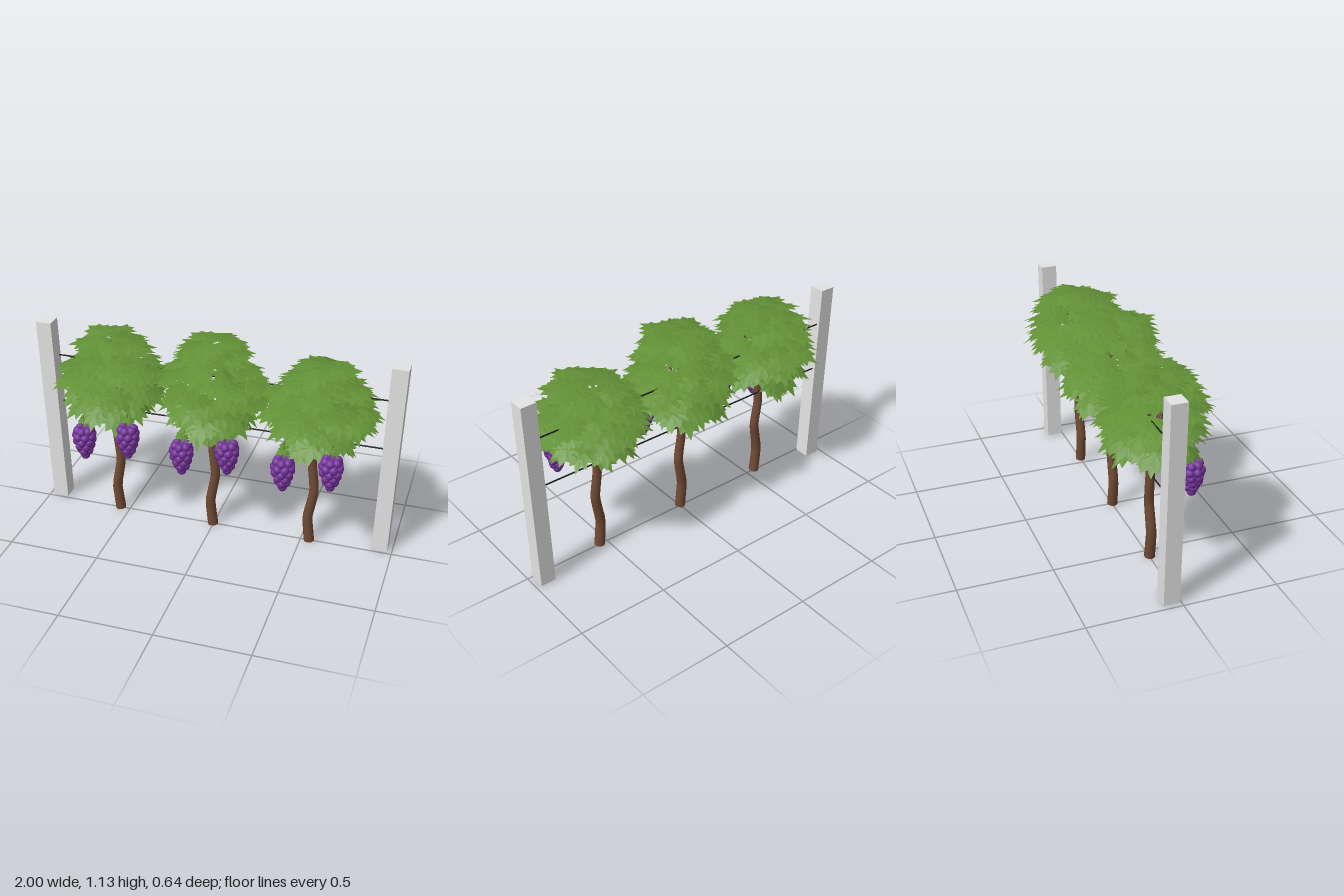
import * as THREE from 'three';
import { mergeGeometries } from 'three/addons/utils/BufferGeometryUtils.js';

const mat = (name, color, side = THREE.FrontSide) => {
  const m = new THREE.MeshStandardMaterial({ color, side });
  m.name = name;
  return m;
};

export function createModel() {
  const postGrey = mat('post grey', 0xe4e4e4);
  const wireBlack = mat('wire black', 0x1c1c1c);
  const bark = mat('bark brown', 0x724b35);
  const leafGreen = mat('leaf green', 0x629036, THREE.DoubleSide);
  const grapePurple = mat('grape purple', 0x76339c);

  let seed = 7;
  const rand = () => (seed = (seed * 16807) % 2147483647) / 2147483647;
  const jitter = (a) => (rand() * 2 - 1) * a;

  const root = new THREE.Group();
  root.name = 'vineyardRow';
  const add = (parent, name, geo, material, x = 0, y = 0, z = 0) => {
    const mesh = new THREE.Mesh(geo, material);
    mesh.name = name;
    mesh.position.set(x, y, z);
    parent.add(mesh);
    return mesh;
  };

  // Tube along points, narrowing from r0 to r1
  const taperTube = (pts, r0, r1, segs, sides) => {
    const curve = new THREE.CatmullRomCurve3(pts.map((p) => new THREE.Vector3(...p)), false, 'catmullrom', 0.2);
    const geo = new THREE.TubeGeometry(curve, segs, r0, sides);
    const pos = geo.attributes.position, v = new THREE.Vector3();
    for (let i = 0; i < pos.count; i++) {
      const t = Math.floor(i / (sides + 1)) / segs;
      const c = curve.getPointAt(t);
      v.fromBufferAttribute(pos, i).sub(c).multiplyScalar(1 + (r1 / r0 - 1) * t).add(c);
      pos.setXYZ(i, v.x, v.y, v.z);
    }
    return geo;
  };

  // Lobed, toothed leaf growing along +z from its stalk, domed and drooping
  const leafGeometry = () => {
    const half = [[0.08, 0.08], [0.3, -0.1], [0.33, 0.1], [0.56, 0.14], [0.4, 0.32],
      [0.6, 0.52], [0.35, 0.54], [0.36, 0.84], [0.15, 0.76]];
    const rim = [[0, 0], ...half, [0, 1.1], ...half.map(([x, z]) => [-x, z]).reverse()];
    const height = ([x, z]) => 0.05 - 0.25 * x * x - 0.14 * (z - 0.35) ** 2;
    const verts = [];
    rim.forEach((a, i) => {
      const b = rim[(i + 1) % rim.length];
      verts.push(0, 0.06, 0.4, b[0], height(b), b[1], a[0], height(a), a[1]);
    });
    const geo = new THREE.BufferGeometry();
    geo.setAttribute('position', new THREE.Float32BufferAttribute(verts, 3));
    geo.computeVertexNormals();
    return geo;
  };
  const leaf = leafGeometry();
  const placeLeaf = (x, y, z, yaw, pitch, roll, size) => {
    const q = new THREE.Quaternion().setFromEuler(new THREE.Euler(pitch, yaw, roll, 'YXZ'));
    return leaf.clone().applyMatrix4(new THREE.Matrix4().compose(
      new THREE.Vector3(x, y, z), q, new THREE.Vector3(size, size, size)));
  };

  // Leaf rings: height, radius, count, downward pitch, sideways squeeze
  const rings = [
    [0.7, 0.115, 8, 0.6, 1], [0.745, 0.125, 12, 0.58, 1.08], [0.79, 0.135, 15, 0.48, 1.15],
    [0.83, 0.145, 16, 0.36, 1.2], [0.87, 0.148, 16, 0.26, 1.22], [0.91, 0.145, 15, 0.18, 1.15],
    [0.955, 0.135, 14, 0.14, 0.9], [1.0, 0.12, 12, 0.12, 0.6], [1.035, 0.11, 11, 0.1, 0.55],
    [1.065, 0.09, 11, 0.1, 0.6], [1.095, 0.055, 9, 0.1, 0.8]];
  const canopy = (lift) => {
    const leaves = [];
    for (const [y, r, n, pitch, squeeze] of rings) {
      const start = rand() * 6.28;
      for (let i = 0; i < n; i++) {
        const a = start + (i / n) * Math.PI * 2 + jitter(0.16);
        const rr = r + jitter(0.02);
        const yy = y + lift * Math.max(0, (y - 0.8) / 0.3) + jitter(0.02);
        leaves.push(placeLeaf(Math.sin(a) * rr * squeeze, yy, Math.cos(a) * rr,
          a + jitter(0.35), pitch + jitter(0.14), jitter(0.2), 0.142 + jitter(0.014)));
      }
    }
    return mergeGeometries(leaves);
  };

  // Bunch of berries hanging below its origin
  const bunchGeometry = () => {
    const rows = [[6, 0.034], [7, 0.043], [6, 0.04], [5, 0.031], [4, 0.02], [1, 0]];
    const berries = [];
    rows.forEach(([n, r], row) => {
      for (let i = 0; i < n; i++) {
        const a = ((i + row * 0.5) / n) * Math.PI * 2;
        berries.push(new THREE.SphereGeometry(0.025, 12, 9)
          .translate(Math.sin(a) * r, -0.024 - row * 0.0305, Math.cos(a) * r));
      }
    });
    berries.push(new THREE.SphereGeometry(0.03, 10, 8).scale(1, 1.6, 1).translate(0, -0.06, 0));
    return mergeGeometries(berries);
  };
  const bunch = bunchGeometry();

  // Posts lean slightly outward
  for (const s of [-1, 1]) {
    const geo = new THREE.BoxGeometry(0.085, 1.09, 0.085).translate(0, 0.545, 0);
    const post = add(root, s < 0 ? 'rightPost' : 'leftPost', geo, postGrey, s * 0.932, 0.001, -0.052);
    post.rotation.z = -s * 0.023;
  }
  // Two trellis wires
  for (const [name, y] of [['lowerWire', 0.597], ['upperWire', 0.88]]) {
    const wire = new THREE.CylinderGeometry(0.004, 0.004, 1.84, 6).rotateZ(Math.PI / 2);
    add(root, name, wire, wireBlack, 0, y, -0.075);
  }

  // Three vines, each with trunk, branches, leaves and two bunches
  [[-0.552, -0.04, -0.015], [0, 0.015, 0], [0.55, -0.06, 0.02]].forEach(([x, lift, shift]) => {
    const vine = new THREE.Group();
    vine.name = 'vine';
    vine.position.x = x;
    root.add(vine);

    const trunk = taperTube([[-0.002, 0, 0.002], [-0.016, 0.15, 0.004], [0.012, 0.32, 0], [-0.006, 0.48, -0.004],
      [0, 0.6, 0], [0.002, 0.68, 0]], 0.029, 0.022, 20, 9);
    add(vine, 'trunk', trunk, bark);
    add(vine, 'trunkBase', new THREE.CircleGeometry(0.028, 9).rotateX(Math.PI / 2), bark, -0.002, 0.001, 0.002);

    const branches = [];
    for (let i = 0; i < 10; i++) {
      const a = (i / 10) * Math.PI * 2 + jitter(0.15);
      const r = i % 2 ? 0.17 : 0.1;
      const top = (i % 2 ? 0.86 : 1.02) + lift * 0.7;
      const at = (k, y) => [Math.sin(a) * r * k, y, Math.cos(a) * r * k];
      branches.push(taperTube([at(0.08, 0.6), at(0.33, 0.7), at(0.65, 0.8), at(1, top)], 0.011, 0.003, 8, 5));
    }
    add(vine, 'branches', mergeGeometries(branches), bark);
    add(vine, 'leaves', canopy(lift), leafGreen, shift);

    for (const [dx, top] of [[-0.125, 0.6], [0.125, 0.645]]) {
      const hanging = new THREE.Group();
      hanging.name = 'grapeBunch';
      hanging.position.set(dx, top, 0.168);
      vine.add(hanging);
      add(hanging, 'berries', bunch, grapePurple);
      const stem = taperTube([[-dx * 0.4, 0.15, -0.07], [0, 0.08, -0.01], [0, -0.03, 0]], 0.004, 0.004, 8, 5);
      add(hanging, 'stem', stem, leafGreen);
      const tips = [-0.9, 0.8].map((yaw) => placeLeaf(0, 0.05, -0.02, yaw, 0.8, 0, 0.06));
      add(hanging, 'stemLeaves', mergeGeometries(tips), leafGreen);
    }
  });
  return root;
}
